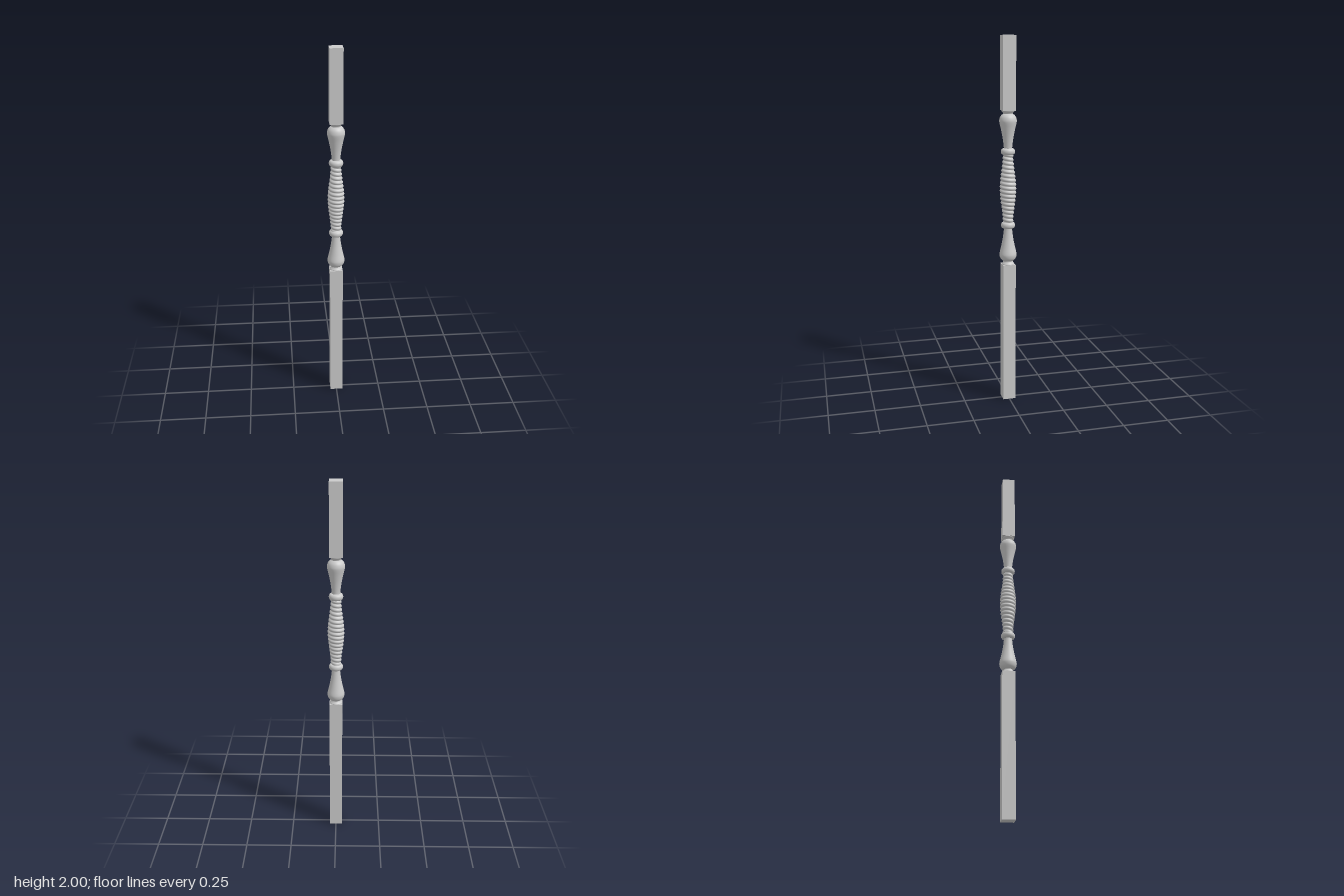
import * as THREE from 'three';
import { mergeVertices } from 'three/addons/utils/BufferGeometryUtils.js';

const MID = 1.197; // height of the centre of the turned section
const grey = new THREE.MeshStandardMaterial({ color: 0xcccccc });

function add(group, name, geometry, y = 0) {
  const mesh = new THREE.Mesh(geometry, grey);
  mesh.name = name;
  mesh.position.y = y;
  group.add(mesh);
  return mesh;
}

// Smooth lathe through [radius, height] points given from bottom to top
function turned(points, steps) {
  const curve = new THREE.SplineCurve(points.map(([r, y]) => new THREE.Vector2(r, y)));
  return new THREE.LatheGeometry(curve.getPoints(steps), 40);
}

// Swollen core with a rounded ridge winding around it
function ropeGeometry(half, turns) {
  const rows = turns * 10;
  const profile = [];
  for (let i = 0; i <= rows; i++) profile.push(new THREE.Vector2(1, -half + (2 * half * i) / rows));
  let geo = new THREE.LatheGeometry(profile, 40);
  const p = geo.attributes.position;
  for (let i = 0; i < p.count; i++) {
    const x = p.getX(i), y = p.getY(i), z = p.getZ(i);
    const t = y / half;
    const swell = 0.029 + 0.016 * Math.cos((t * Math.PI) / 2) ** 2;
    const phase = (turns * Math.PI * t) + Math.atan2(x, z);
    const r = swell - 0.006 * (1 - Math.abs(Math.sin(phase / 2)));
    p.setXYZ(i, x * r, y, z * r);
  }
  geo.deleteAttribute('uv');
  geo.deleteAttribute('normal');
  geo = mergeVertices(geo, 1e-5);
  geo.computeVertexNormals();
  return geo;
}

export function createModel() {
  const group = new THREE.Group();
  group.name = 'baluster';

  // Square blocks at both ends
  add(group, 'lowerBlock', new THREE.BoxGeometry(0.07, 0.78, 0.07), 0.39);
  add(group, 'upperBlock', new THREE.BoxGeometry(0.07, 0.386, 0.07), 1.807);

  // Turned parts, mirrored above and below the middle
  const vase = turned([
    [0.022, 0.21], [0.023, 0.23], [0.029, 0.275], [0.038, 0.32], [0.0455, 0.352],
    [0.0465, 0.367], [0.042, 0.383], [0.033, 0.394], [0.025, 0.399],
  ], 32);
  const collar = turned([[0.025, 0.398], [0.026, 0.403], [0.03, 0.409], [0.034, 0.414], [0.034, 0.418]], 12);
  const bead = turned([
    [0.02, 0.182], [0.031, 0.185], [0.0365, 0.192], [0.038, 0.2], [0.0365, 0.208], [0.031, 0.215], [0.02, 0.218],
  ], 16);
  for (const [side, turn] of [['upper', 0], ['lower', Math.PI]]) {
    const half = new THREE.Group();
    half.name = side + 'Turning';
    half.position.y = MID;
    half.rotation.x = turn;
    add(half, side + 'Vase', vase);
    add(half, side + 'Collar', collar);
    add(half, side + 'Bead', bead);
    group.add(half);
  }

  // Spiral middle
  add(group, 'spiralMiddle', ropeGeometry(0.188, 17), MID);
  return group;
}
